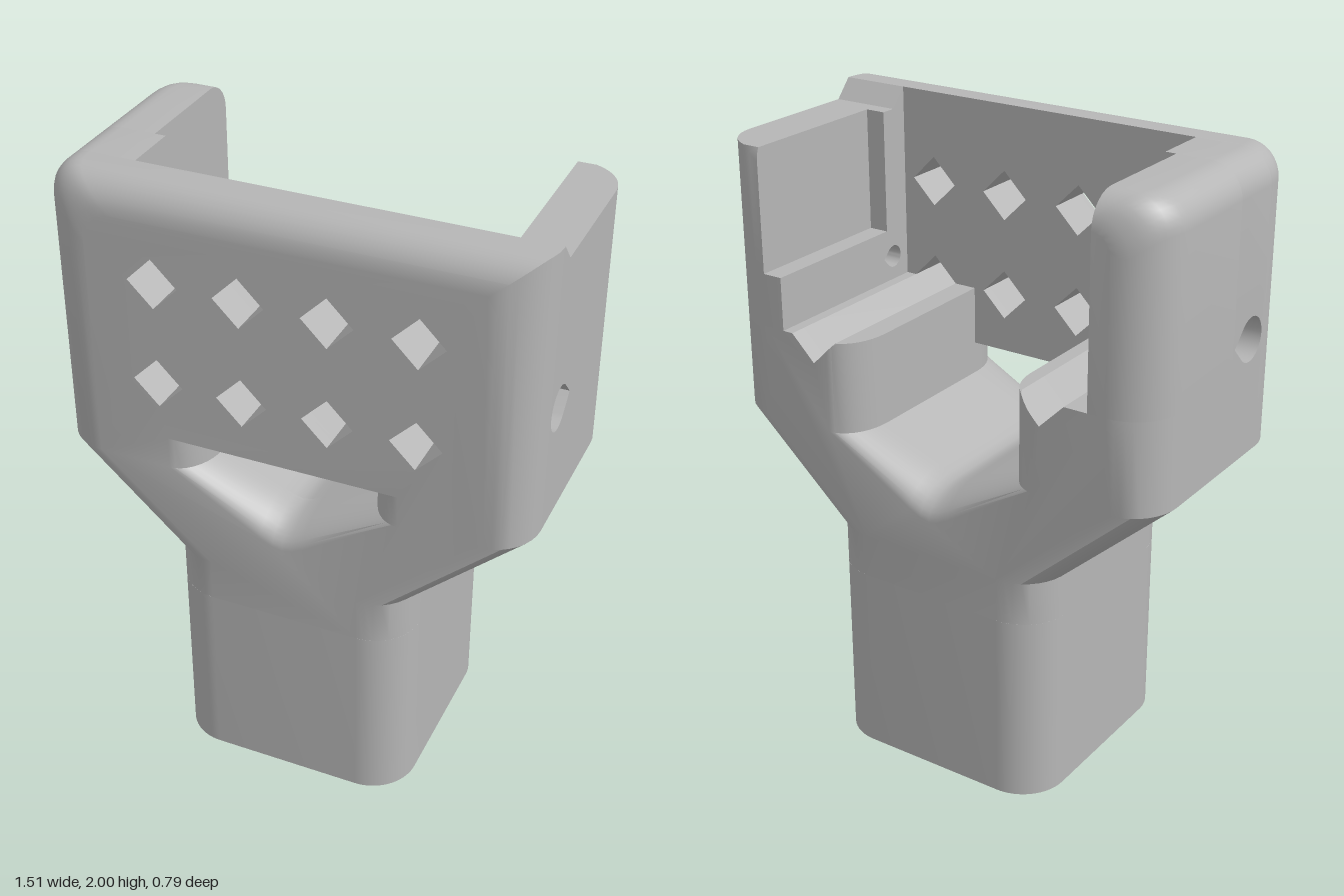
import * as THREE from 'three';
import { toCreasedNormals } from 'three/addons/utils/BufferGeometryUtils.js';

const D = 0.395, R = 0.15;            // half depth, vertical corner radius
const HEAD = 0.755, STEM = 0.395;     // half widths
const SOCKET = 0.62, LEDGE = 1.38, STEP = 1.55, TOP = 2;
const FRONT = 0.235;                  // inner face of the front wall

// How far a rounded edge of radius r has pulled in at depth z
function inset(z, r = R) {
  const d = Math.min(r, Math.max(0, Math.abs(z) - (D - r)));
  return r - Math.sqrt(Math.max(0, r * r - d * d));
}
const topAt = z => TOP - inset(z, 0.1);
const flare = z => inset(z) * 0.7;

// Depth samples from a to b, denser where the edges round off
function depths(a, b) {
  const zs = [a, b];
  for (let i = 0; i <= 9; i++) {
    const z = D - R + R * Math.sin(i / 9 * Math.PI / 2);
    for (const s of [z, -z]) if (s > a + 1e-4 && s < b - 1e-4) zs.push(s);
  }
  return zs.sort((p, q) => p - q);
}

const orient = (pts, clockwise) => {
  const v = pts.map(p => new THREE.Vector2(p[0], p[1]));
  return THREE.ShapeUtils.isClockWise(v) === clockwise ? v : v.reverse();
};

// Solid lofted along z from an outline (and holes) given at each depth
function loft(a, b, outline, holes = () => []) {
  const slices = depths(a, b).map(z => ({
    z, rings: [orient(outline(z), false), ...holes(z).map(h => orient(h, true))],
  }));
  const pos = [];
  const put = (p, z) => pos.push(p.x, p.y, z);
  for (let i = 0; i + 1 < slices.length; i++) {
    const s = slices[i], t = slices[i + 1];
    s.rings.forEach((ring, k) => ring.forEach((p, j) => {
      const n = (j + 1) % ring.length, q = ring[n], p1 = t.rings[k][j], q1 = t.rings[k][n];
      put(p, s.z); put(q, s.z); put(q1, t.z);
      put(p, s.z); put(q1, t.z); put(p1, t.z);
    }));
  }
  for (const [s, flip] of [[slices[0], true], [slices[slices.length - 1], false]]) {
    const all = s.rings.flat();
    for (const f of THREE.ShapeUtils.triangulateShape(s.rings[0], s.rings.slice(1))) {
      for (const i of flip ? [f[2], f[1], f[0]] : f) put(all[i], s.z);
    }
  }
  const g = new THREE.BufferGeometry();
  g.setAttribute('position', new THREE.Float32BufferAttribute(pos, 3));
  return toCreasedNormals(g, 0.55);
}

// Rounded top corner on the -x side
function corner(w, top, r) {
  const pts = [];
  for (let i = 0; i <= 8; i++) {
    const t = Math.PI / 2 * (1 + i / 8);
    pts.push([-w + r + r * Math.cos(t), top - r + r * Math.sin(t)]);
  }
  return pts;
}

// V-shaped pocket floor from +x to -x
function pocketFloor(z) {
  const f = flare(z), x = 0.265 + f, y = 0.97 - 0.85 * f;
  return [[x, 1.085], [0.07, y + 0.026], [0.03, y + 0.006], [0, y],
    [-0.03, y + 0.006], [-0.07, y + 0.026], [-x, 1.085]];
}

// Pedestal top with its groove centred at c, from the outside inwards
function pedestal(z, c) {
  const x = 0.265 + flare(z), edge = Math.max(c - 0.08, x), y = LEDGE - (edge - c + 0.08);
  return [[c + 0.08, LEDGE], [c, LEDGE - 0.08], [edge, y], [x, y]];
}

function lowerOutline(z) {
  const i = inset(z), s = STEM - i, h = HEAD - i;
  return [[-s, SOCKET], [s, SOCKET], [s, 0.76], [h, 1.085], [h, LEDGE],
    ...pedestal(z, 0.42), ...pocketFloor(z),
    ...pedestal(z, 0.39).reverse().map(([x, y]) => [-x, y]),
    [-h, LEDGE], [-h, 1.085], [-s, 0.76]];
}

function frontOutline(z) {
  const i = inset(z), s = STEM - i, h = HEAD - i, t = topAt(z);
  return [[-s, SOCKET], [s, SOCKET], [s, 0.76], [h, 1.085], [h, t],
    ...corner(h, t, 0.1), [-h, 1.085], [-s, 0.76]];
}

// Eight diamond holes and the pocket mouth
function frontHoles(z) {
  const holes = [], a = 0.08, m = 0.265 + flare(z);
  for (const y of [1.38, 1.71]) for (const x of [-0.39, -0.12, 0.15, 0.42]) {
    holes.push([[x - a, y], [x, y - a], [x + a, y], [x, y + a]]);
  }
  holes.push([[-m, 1.19], [m, 1.19], ...pocketFloor(z)]);
  return holes;
}

// Side wall outlines: inner face x, bottom y, top y by depth
const wallOnRight = (inner, y0, top) => z => {
  const h = HEAD - inset(z), x = Math.min(inner, h - 0.004), t = Math.min(top(z), topAt(z));
  return [[x, y0], [h, y0], [h, t], [x, t]];
};
const wallOnLeft = (inner, y0) => z => {
  const h = HEAD - inset(z), t = topAt(z), r = Math.min(0.1, h - inner - 0.004);
  return [[-h, y0], [-inner, y0], [-inner, t], ...corner(h, t, r)];
};

// Wall panel pierced along x by a teardrop hole
function panel(x0, x1, r) {
  const z0 = 0.055, cu = -0.163, cy = 1.457;
  const shape = new THREE.Shape([[-FRONT, LEDGE], [-z0, LEDGE], [-z0, STEP], [-FRONT, STEP]]
    .map(p => new THREE.Vector2(...p)));
  const drop = [new THREE.Vector2(cu + r * Math.SQRT2, cy)];
  for (let i = 0; i <= 24; i++) {
    const t = Math.PI * (0.25 + 1.5 * i / 24);
    drop.push(new THREE.Vector2(cu + r * Math.cos(t), cy + r * Math.sin(t)));
  }
  shape.holes.push(new THREE.Path(drop));
  const g = new THREE.ExtrudeGeometry(shape, { depth: x1 - x0, bevelEnabled: false });
  return toCreasedNormals(g.rotateY(Math.PI / 2).translate(x0, 0, 0), 0.55);
}

// Hollow square stem
function stemGeometry() {
  const k = STEM - R, a = 0.285, s = new THREE.Shape();
  [[k, k, 0], [-k, k, 0.5], [-k, -k, 1], [k, -k, 1.5]].forEach(([x, y, t]) =>
    s.absarc(x, y, R, t * Math.PI, (t + 0.5) * Math.PI, false));
  s.closePath();
  s.holes.push(new THREE.Path([[-a, -a], [-a, a], [a, a], [a, -a]].map(p => new THREE.Vector2(...p))));
  const g = new THREE.ExtrudeGeometry(s, { depth: SOCKET, bevelEnabled: false, curveSegments: 9 });
  return toCreasedNormals(g.rotateX(-Math.PI / 2), 0.55);
}

export function createModel() {
  const group = new THREE.Group();
  group.name = 'bracket';
  const grey = new THREE.MeshStandardMaterial({ color: 0xb6b6b6 });
  grey.name = 'grey plastic';
  const add = (name, geometry) => {
    const mesh = new THREE.Mesh(geometry, grey);
    mesh.name = name;
    group.add(mesh);
  };

  add('stem', stemGeometry());
  add('groovedBase', loft(-D, FRONT, lowerOutline));
  add('frontWall', loft(FRONT, D, frontOutline, frontHoles));

  // Full-height wall on the -x side
  add('rightWallBack', loft(-D, 0.055, wallOnLeft(0.545, LEDGE)));
  add('rightWallFront', loft(0.055, FRONT, wallOnLeft(0.51, STEP)));

  // Lower wall with a stepped recess and a sloped notch on the +x side
  const low = () => 1.94;
  add('leftWallStep', loft(-D, 0.055, wallOnRight(0.535, LEDGE, () => STEP)));
  add('leftWallRecess', loft(-D, 0.13, wallOnRight(0.6, STEP, low)));
  add('leftWallFront', loft(0.13, 0.18, wallOnRight(0.535, STEP, low)));
  add('leftWallNotch', loft(0.18, FRONT,
    wallOnRight(0.535, STEP, z => 1.94 + 0.06 * (z - 0.18) / (FRONT - 0.18))));

  // Screw hole panels: wide outside, narrow inside
  add('leftScrewSeat', panel(0.655, HEAD, 0.07));
  add('leftScrewHole', panel(0.535, 0.655, 0.036));
  add('rightScrewSeat', panel(-HEAD, -0.655, 0.07));
  add('rightScrewHole', panel(-0.655, -0.51, 0.036));
  return group;
}
